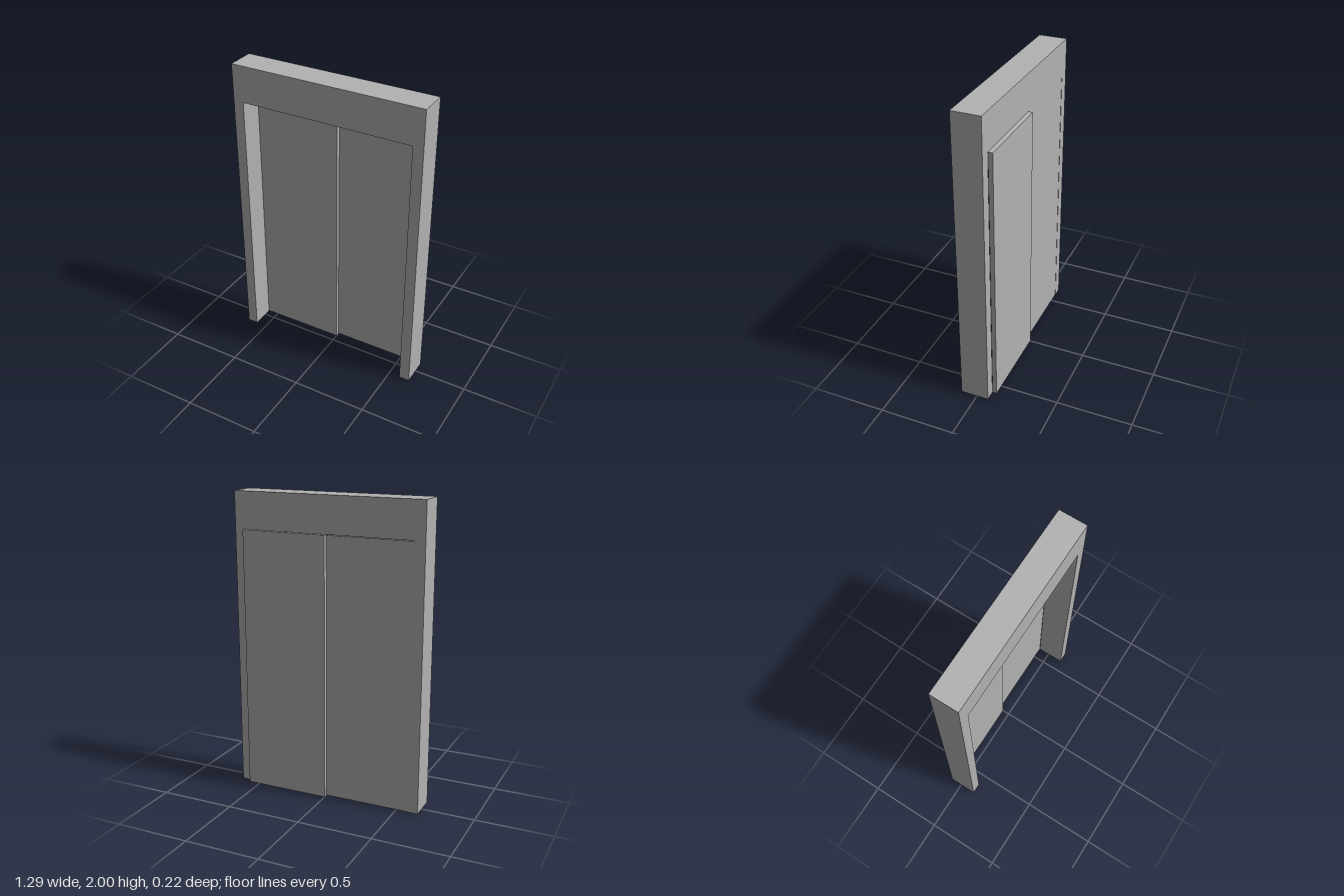
import * as THREE from 'three';

export function createModel() {
  const group = new THREE.Group();
  const grey = new THREE.MeshStandardMaterial({ color: 0xb2b2b2 });
  grey.name = 'grey';

  const halfWidth = 0.647, height = 2;
  const openHalf = 0.577, openTop = 1.757;
  const front = 0.109, back = -0.079;

  // Door frame: two jambs and a lintel as one upside-down U
  const outline = new THREE.Shape([
    [-halfWidth, 0], [-openHalf, 0], [-openHalf, openTop], [openHalf, openTop],
    [openHalf, 0], [halfWidth, 0], [halfWidth, height], [-halfWidth, height],
  ].map(([x, y]) => new THREE.Vector2(x, y)));
  const frameGeometry = new THREE.ExtrudeGeometry(outline, { depth: front - back, bevelEnabled: false });
  frameGeometry.translate(0, 0, back);
  const frame = new THREE.Mesh(frameGeometry, grey);
  frame.name = 'frame';
  group.add(frame);

  // Sliding panels, given by their lower and upper corners
  function addPanel(name, min, max) {
    const size = max.map((v, i) => v - min[i]);
    const panel = new THREE.Mesh(new THREE.BoxGeometry(...size), grey);
    panel.position.set(...max.map((v, i) => (v + min[i]) / 2));
    panel.name = name;
    group.add(panel);
  }
  // Right panel sits inside the opening, left panel runs behind the frame
  addPanel('rightDoorPanel', [-openHalf, 0.001, -0.077], [0.001, 1.753, -0.05]);
  addPanel('leftDoorPanel', [-0.002, 0.001, -0.109], [openHalf, openTop, -0.08]);

  return group;
}
